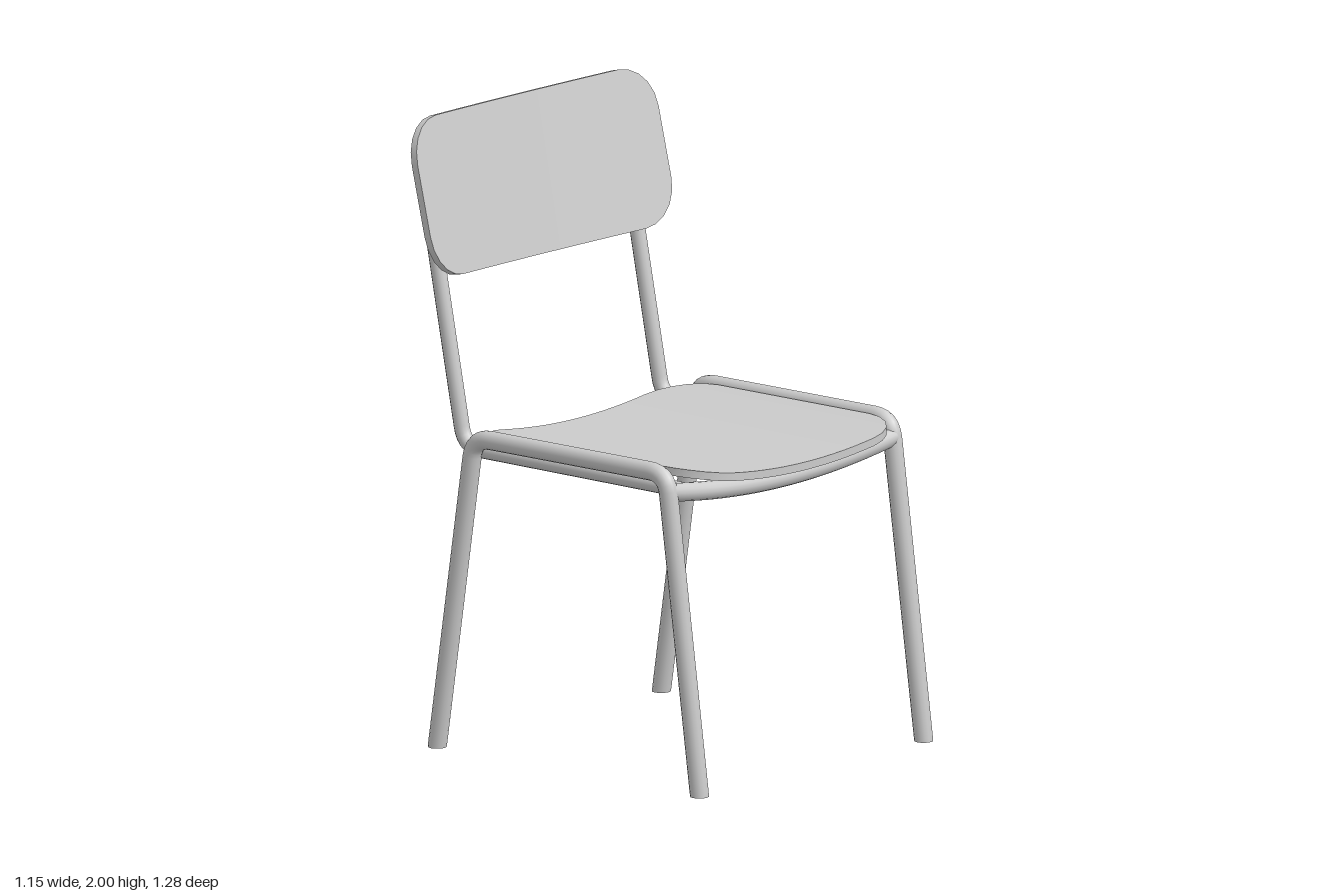
import * as THREE from 'three';
import { toCreasedNormals } from 'three/addons/utils/BufferGeometryUtils.js';

const material = new THREE.MeshStandardMaterial({ color: 0xcccccc });
const V = (x, y, z) => new THREE.Vector3(x, y, z);

function add(parent, name, geometry) {
  const mesh = new THREE.Mesh(geometry, material);
  mesh.name = name;
  parent.add(mesh);
  return mesh;
}

// Straight runs through the points, joined by rounded bends
function bentPath(points, bend) {
  const path = new THREE.CurvePath();
  let start = points[0];
  for (let i = 1; i < points.length - 1; i++) {
    const p = points[i];
    const a = p.clone().add(points[i - 1].clone().sub(p).setLength(bend));
    const b = p.clone().add(points[i + 1].clone().sub(p).setLength(bend));
    path.add(new THREE.LineCurve3(start, a));
    path.add(new THREE.QuadraticBezierCurve3(a, p, b));
    start = b;
  }
  path.add(new THREE.LineCurve3(start, points[points.length - 1]));
  return path;
}

// Thin board with rounded corners, bowed towards +z at its left and right ends
function bowedPanel(width, height, thickness, radius, sag) {
  const w = width / 2, h = height / 2, corner = 5, middle = 14;
  const columns = [];
  for (let i = 0; i <= corner; i++) {
    const a = (1 - i / corner) * Math.PI / 2;
    columns.push([-w + radius - radius * Math.sin(a), h - radius + radius * Math.cos(a)]);
  }
  for (let i = 1; i < middle; i++) columns.push([(w - radius) * (2 * i / middle - 1), h]);
  for (let i = corner; i >= 0; i--) columns.push([-columns[i][0], columns[i][1]]);

  const n = columns.length - 1;
  const geometry = new THREE.BoxGeometry(n, 2, thickness, n, 1, 1);
  const pos = geometry.attributes.position;
  for (let i = 0; i < pos.count; i++) {
    const [x, half] = columns[Math.round(pos.getX(i) + n / 2)];
    pos.setXYZ(i, x, pos.getY(i) * half, pos.getZ(i) + sag * (x / w) ** 2);
  }
  return toCreasedNormals(geometry, 0.6);
}

export function createModel() {
  const chair = new THREE.Group();
  chair.name = 'chair';

  // Side frames: front leg, armless rail and rear leg in one bent tube
  for (const side of [1, -1]) {
    const x = side * 0.535, r = 0.03;
    const frame = new THREE.Group();
    frame.name = side > 0 ? 'leftLegFrame' : 'rightLegFrame';
    const feet = [V(x, 0, 0.61), V(x, 0, -0.485)];
    const path = bentPath([feet[0], V(x, 1.018, 0.472), V(x, 1.018, -0.33), feet[1]], 0.065);
    const tube = new THREE.TubeGeometry(path, 160, r, 14);
    // Cut the feet level with the floor
    const pos = tube.attributes.position;
    for (let i = 0; i < 15; i++) {
      pos.setY(i, 0);
      pos.setY(pos.count - 1 - i, 0);
    }
    add(frame, 'legTube', tube);
    for (const foot of feet) {
      const cap = add(frame, 'footCap', new THREE.CircleGeometry(r, 14));
      cap.rotation.x = Math.PI / 2;
      cap.position.copy(foot);
    }
    chair.add(frame);
  }

  // Seat rails and back uprights in one tube
  const half = [V(0.472, 0.958, 0.48), V(0.472, 0.963, -0.425), V(0.472, 1.91, -0.612)];
  const mirrored = half.map(p => V(-p.x, p.y, p.z)).reverse();
  const backPath = bentPath([...half, ...mirrored], 0.065);
  add(chair, 'backFrame', new THREE.TubeGeometry(backPath, 260, 0.025, 14));

  // Sagging bar between the front legs
  const barCurve = new THREE.QuadraticBezierCurve3(
    V(-0.53, 0.96, 0.48), V(0, 0.874, 0.48), V(0.53, 0.96, 0.48));
  add(chair, 'frontCrossbar', new THREE.TubeGeometry(barCurve, 24, 0.03, 14));

  // Seat board
  const seat = add(chair, 'seat', bowedPanel(1.0, 0.957, 0.026, 0.165, 0.05));
  seat.rotation.x = -Math.PI / 2;
  seat.position.set(0, 0.968, 0.098);

  // Backrest board
  const backrest = add(chair, 'backrest', bowedPanel(1.15, 0.508, 0.025, 0.14, 0.037));
  backrest.rotation.x = -0.235;
  backrest.position.set(0, 1.748, -0.553);

  return chair;
}
